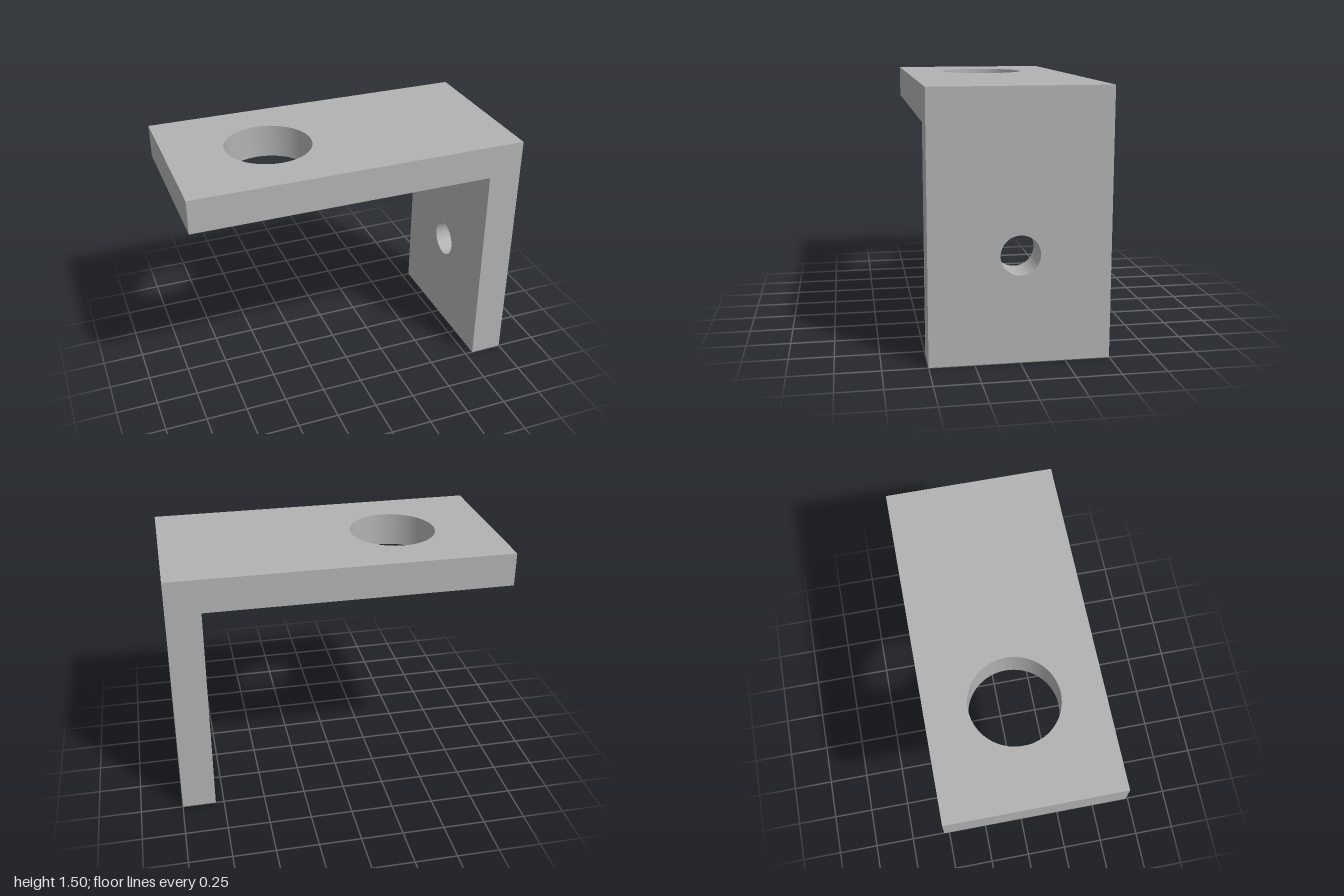
import * as THREE from 'three';
import { toCreasedNormals } from 'three/addons/utils/BufferGeometryUtils.js';

const THICKNESS = 0.2;
const HALF_DEPTH = 0.5;

// Rectangular plate with one round through-hole, extruded along +z
function drilledPlate(x0, y0, x1, y1, holeX, holeY, radius) {
  const shape = new THREE.Shape();
  shape.moveTo(x0, y0);
  shape.lineTo(x1, y0);
  shape.lineTo(x1, y1);
  shape.lineTo(x0, y1);
  shape.closePath();
  const hole = new THREE.Path();
  hole.absarc(holeX, holeY, radius, 0, Math.PI * 2, true);
  shape.holes.push(hole);
  return new THREE.ExtrudeGeometry(shape, {
    depth: THICKNESS, bevelEnabled: false, curveSegments: 64,
  });
}

export function createModel() {
  const group = new THREE.Group();
  group.name = 'angleBracket';
  const steel = new THREE.MeshStandardMaterial({ color: 0xb2b2b2 });
  steel.name = 'grey steel';

  const add = (name, geometry) => {
    const mesh = new THREE.Mesh(toCreasedNormals(geometry, 0.5), steel);
    mesh.name = name;
    group.add(mesh);
  };

  // Horizontal plate with the large hole, butting against the upright
  const top = drilledPlate(-1, -HALF_DEPTH, 0.8, HALF_DEPTH, -0.4, 0, 0.257);
  top.rotateX(-Math.PI / 2).translate(0, 1.3, 0);
  add('topPlate', top);

  // Upright plate with the small hole, running the full height
  const upright = drilledPlate(-HALF_DEPTH, 0, HALF_DEPTH, 1.5, 0, 0.6, 0.11);
  upright.rotateY(Math.PI / 2).translate(0.8, 0, 0);
  add('uprightPlate', upright);

  return group;
}
